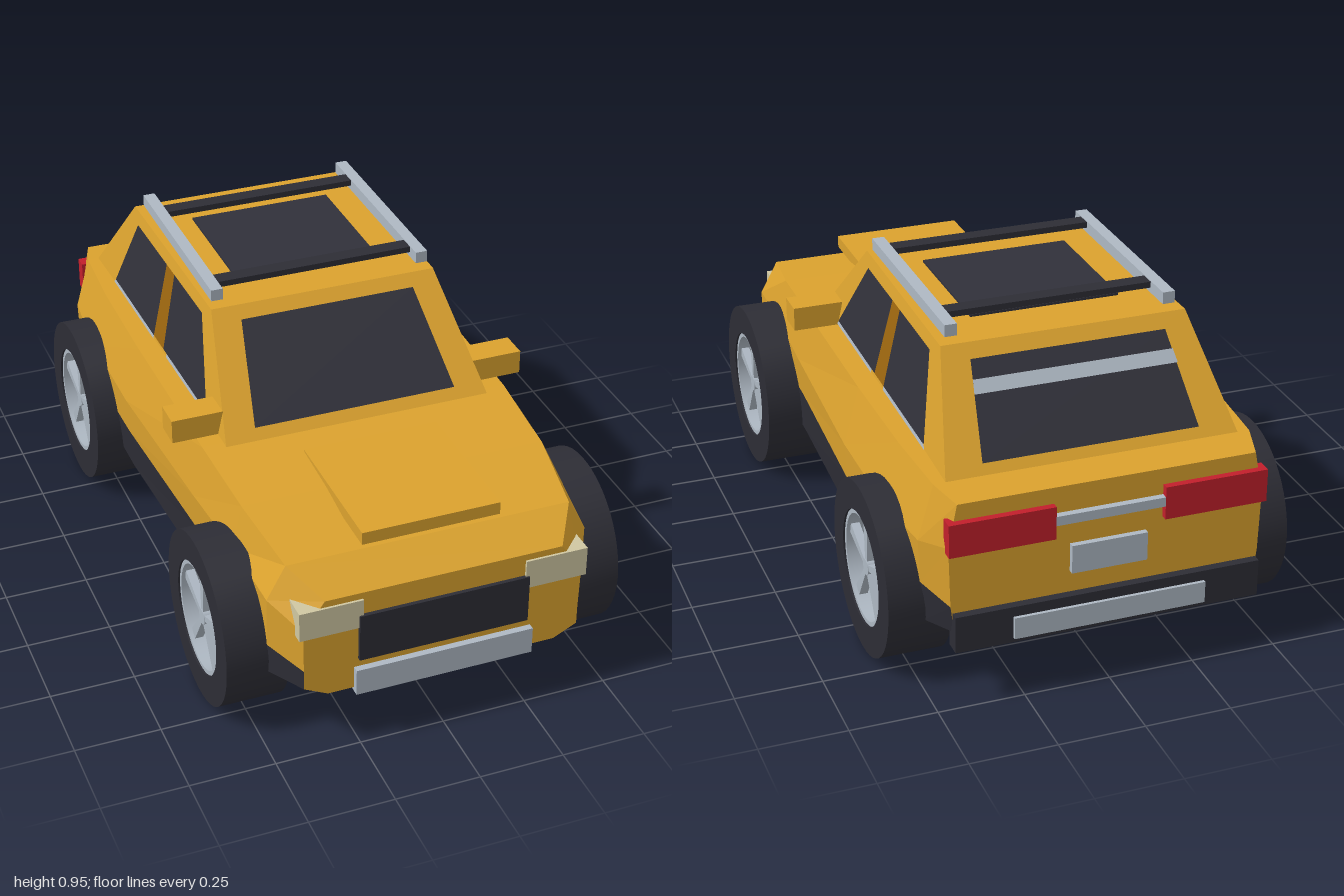
import * as THREE from 'three';
import { toCreasedNormals } from 'three/addons/utils/BufferGeometryUtils.js';
import { ConvexGeometry } from 'three/addons/geometries/ConvexGeometry.js';

const paint = (name, color) => {
  const m = new THREE.MeshStandardMaterial({ color });
  m.name = name;
  return m;
};

export function createModel() {
  const M = {
    body: paint('amber paint', 0xdba22e),
    pillar: paint('brown pillar', 0x9c660f),
    dark: paint('dark rubber and plastic', 0x2d2d35),
    glass: paint('dark glass', 0x31313a),
    silver: paint('silver trim', 0xaeb8c3),
    lamp: paint('headlight cream', 0xd0c7a2),
    red: paint('tail light red', 0xc21f2b),
  };
  const car = new THREE.Group();
  car.name = 'car';

  const add = (name, geo, mat, parent = car) => {
    const mesh = new THREE.Mesh(geo, mat);
    mesh.name = name;
    parent.add(mesh);
    return mesh;
  };
  // Box given by its min and max on each axis
  const box = (name, mat, [x0, x1], [y0, y1], [z0, z1]) =>
    add(name, new THREE.BoxGeometry(x1 - x0, y1 - y0, z1 - z0), mat)
      .position.set((x0 + x1) / 2, (y0 + y1) / 2, (z0 + z1) / 2);
  const boxPair = (name, mat, [x0, x1], y, z) => {
    box('left' + name, mat, [x0, x1], y, z);
    box('right' + name, mat, [-x1, -x0], y, z);
  };
  // Flat four-cornered panel, corners counter-clockwise from outside, lifted off its surface
  const panel = (name, mat, corners, lift = 0.004) => {
    const p = corners.map(c => new THREE.Vector3(...c));
    const n = p[1].clone().sub(p[0]).cross(p[2].clone().sub(p[0])).normalize();
    p.forEach(v => v.addScaledVector(n, lift));
    const geo = new THREE.BufferGeometry().setFromPoints([0, 1, 2, 0, 2, 3].map(i => p[i]));
    geo.computeVertexNormals();
    add(name, geo, mat);
  };

  // Lower body: half sections [x, y] from floor to bonnet edge, front to rear
  const sections = [
    [0.98, [[0.34, 0.185], [0.41, 0.22], [0.41, 0.28], [0.41, 0.41], [0.35, 0.5]]],
    [0.87, [[0.4, 0.175], [0.475, 0.22], [0.475, 0.31], [0.475, 0.46], [0.42, 0.56]]],
    [0.62, [[0.41, 0.165], [0.48, 0.21], [0.48, 0.33], [0.485, 0.47], [0.455, 0.6]]],
    [0.33, [[0.41, 0.165], [0.485, 0.21], [0.49, 0.34], [0.5, 0.46], [0.47, 0.62]]],
    [-0.25, [[0.42, 0.165], [0.51, 0.21], [0.52, 0.34], [0.525, 0.45], [0.478, 0.625]]],
    [-0.61, [[0.42, 0.165], [0.51, 0.21], [0.52, 0.33], [0.525, 0.45], [0.475, 0.625]]],
    [-0.86, [[0.41, 0.17], [0.49, 0.21], [0.5, 0.33], [0.505, 0.46], [0.46, 0.62]]],
    [-0.965, [[0.38, 0.18], [0.44, 0.22], [0.45, 0.3], [0.455, 0.48], [0.43, 0.608]]],
  ];
  const rings = sections.map(([z, half]) => [
    ...half.map(([x, y]) => new THREE.Vector3(x, y, z)),
    ...half.map(([x, y]) => new THREE.Vector3(-x, y, z)).reverse(),
  ]);
  const upper = [], lower = [];
  for (let s = 0; s < rings.length - 1; s++) {
    const f = rings[s], r = rings[s + 1];
    for (let i = 0; i < 10; i++) {
      const j = (i + 1) % 10;
      (i < 2 || i > 6 ? lower : upper).push(f[i], r[i], r[j], f[i], r[j], f[j]);
    }
  }
  const nose = rings[0], tail = rings[rings.length - 1];
  for (let i = 1; i < 9; i++) {
    upper.push(nose[0], nose[i], nose[i + 1], tail[0], tail[i + 1], tail[i]);
  }
  const facets = points => {
    const geo = new THREE.BufferGeometry().setFromPoints(points);
    geo.computeVertexNormals();
    return geo;
  };
  add('bodyShell', facets(upper), M.body);
  add('sillsAndFloor', facets(lower), M.dark);

  // Cabin with planar sides
  const sideX = (y, z) => 0.411 - 0.0165 * z - 0.22 * (y - 0.62);
  const cabin = [];
  for (const [y, z] of [[0.6, 0.37], [0.905, 0.07], [0.905, -0.63], [0.6, -0.875]]) {
    for (const s of [1, -1]) cabin.push(new THREE.Vector3(s * sideX(y, z), y, z));
  }
  add('cabin', new ConvexGeometry(cabin), M.body);

  // Windscreen and rear window on the sloping ends
  const frontZ = y => 0.37 - (y - 0.6) * 0.3 / 0.305;
  const rearZ = y => -0.875 + (y - 0.6) * 0.245 / 0.305;
  const endPanel = (name, mat, zAt, s, [w0, y0], [w1, y1], lift) => panel(name, mat, [
    [-s * w0, y0, zAt(y0)], [s * w0, y0, zAt(y0)], [s * w1, y1, zAt(y1)], [-s * w1, y1, zAt(y1)],
  ], lift);
  endPanel('windscreen', M.glass, frontZ, 1, [0.31, 0.645], [0.268, 0.872]);
  endPanel('rearWindow', M.glass, rearZ, -1, [0.315, 0.645], [0.285, 0.867]);
  endPanel('rearWindowStripe', M.silver, rearZ, -1, [0.297, 0.79], [0.292, 0.822], 0.008);

  // Side windows, pillars and belt trim: bottom and top z ranges, front to rear
  const sidePanel = (name, mat, [y0, y1], [a, b], [c, d]) => {
    const q = [[y0, a], [y0, b], [y1, d], [y1, c]].map(([y, z]) => [sideX(y, z), y, z]);
    panel('left' + name, mat, q);
    panel('right' + name, mat, q.map(([x, y, z]) => [-x, y, z]).reverse());
  };
  const tall = [0.637, 0.87];
  sidePanel('FrontWindow', M.glass, tall, [0.185, -0.2], [0.02, -0.225]);
  sidePanel('Pillar', M.pillar, tall, [-0.2, -0.29], [-0.225, -0.295]);
  sidePanel('RearWindow', M.glass, tall, [-0.29, -0.67], [-0.295, -0.57]);
  sidePanel('FrontTrim', M.silver, [0.626, 0.637], [0.19, -0.17], [0.185, -0.17]);
  sidePanel('RearTrim', M.silver, [0.626, 0.637], [-0.29, -0.68], [-0.29, -0.67]);

  // Roof: sunroof, rails and cross bars
  box('sunroof', M.glass, [-0.22, 0.22], [0.904, 0.912], [-0.48, -0.07]);
  boxPair('RoofRail', M.silver, [0.302, 0.338], [0.917, 0.952], [-0.605, 0.045]);
  box('frontCrossBar', M.dark, [-0.302, 0.302], [0.932, 0.95], [-0.047, 0]);
  box('rearCrossBar', M.dark, [-0.302, 0.302], [0.932, 0.95], [-0.52, -0.473]);

  // Bonnet scoop, mirrors and nose
  box('bonnetScoop', M.body, [-0.204, 0.204], [0.58, 0.618], [0.44, 0.88]);
  boxPair('Mirror', M.body, [0.39, 0.543], [0.622, 0.694], [0.195, 0.283]);
  boxPair('Headlight', M.lamp, [0.24, 0.425], [0.39, 0.48], [0.905, 0.987]);
  box('grille', M.dark, [-0.252, 0.25], [0.282, 0.43], [0.95, 0.992]);
  box('frontSkidPlate', M.silver, [-0.264, 0.264], [0.173, 0.255], [0.94, 1.0]);

  // Tail
  boxPair('TailLight', M.red, [0.158, 0.46], [0.462, 0.56], [-0.985, -0.942]);
  box('tailStrip', M.silver, [-0.158, 0.158], [0.502, 0.53], [-0.985, -0.955]);
  box('rearPlate', M.silver, [-0.11, 0.11], [0.345, 0.43], [-0.982, -0.955]);
  box('rearBumper', M.dark, [-0.445, 0.445], [0.17, 0.28], [-0.99, -0.94]);
  box('rearSkidPlate', M.silver, [-0.28, 0.28], [0.185, 0.25], [-1.0, -0.97]);

  // Wheels: open rings with five tapered spokes, axis along z before turning
  const ring = (outer, inner, depth) => {
    const shape = new THREE.Shape().absarc(0, 0, outer, 0, Math.PI * 2);
    shape.holes.push(new THREE.Path().absarc(0, 0, inner, 0, Math.PI * 2, true));
    const geo = new THREE.ExtrudeGeometry(shape, { depth, bevelEnabled: false, curveSegments: 24 });
    return toCreasedNormals(geo.translate(0, 0, -depth / 2), 0.6);
  };
  const tyreGeo = ring(0.255, 0.167, 0.183);
  const rimGeo = ring(0.169, 0.154, 0.172);
  const spokeGeo = new THREE.ExtrudeGeometry(new THREE.Shape([
    new THREE.Vector2(-0.008, 0.01), new THREE.Vector2(0.008, 0.01),
    new THREE.Vector2(0.017, 0.16), new THREE.Vector2(-0.017, 0.16),
  ]), { depth: 0.025, bevelEnabled: false }).translate(0, 0, 0.05);
  const hubGeo = new THREE.CylinderGeometry(0.024, 0.024, 0.03, 12).rotateX(Math.PI / 2).translate(0, 0, 0.062);

  for (const [end, z] of [['front', 0.62], ['rear', -0.615]]) {
    for (const s of [1, -1]) {
      const wheel = new THREE.Group();
      wheel.name = end + (s > 0 ? 'Left' : 'Right') + 'Wheel';
      add('tyre', tyreGeo, M.dark, wheel);
      add('rim', rimGeo, M.silver, wheel);
      add('hub', hubGeo, M.silver, wheel);
      for (let i = 0; i < 5; i++) {
        add('spoke', spokeGeo, M.silver, wheel).rotation.z = i * Math.PI * 2 / 5;
      }
      wheel.rotation.y = s * Math.PI / 2;
      wheel.position.set(s * 0.502, 0.256, z);
      car.add(wheel);
    }
  }
  return car;
}
